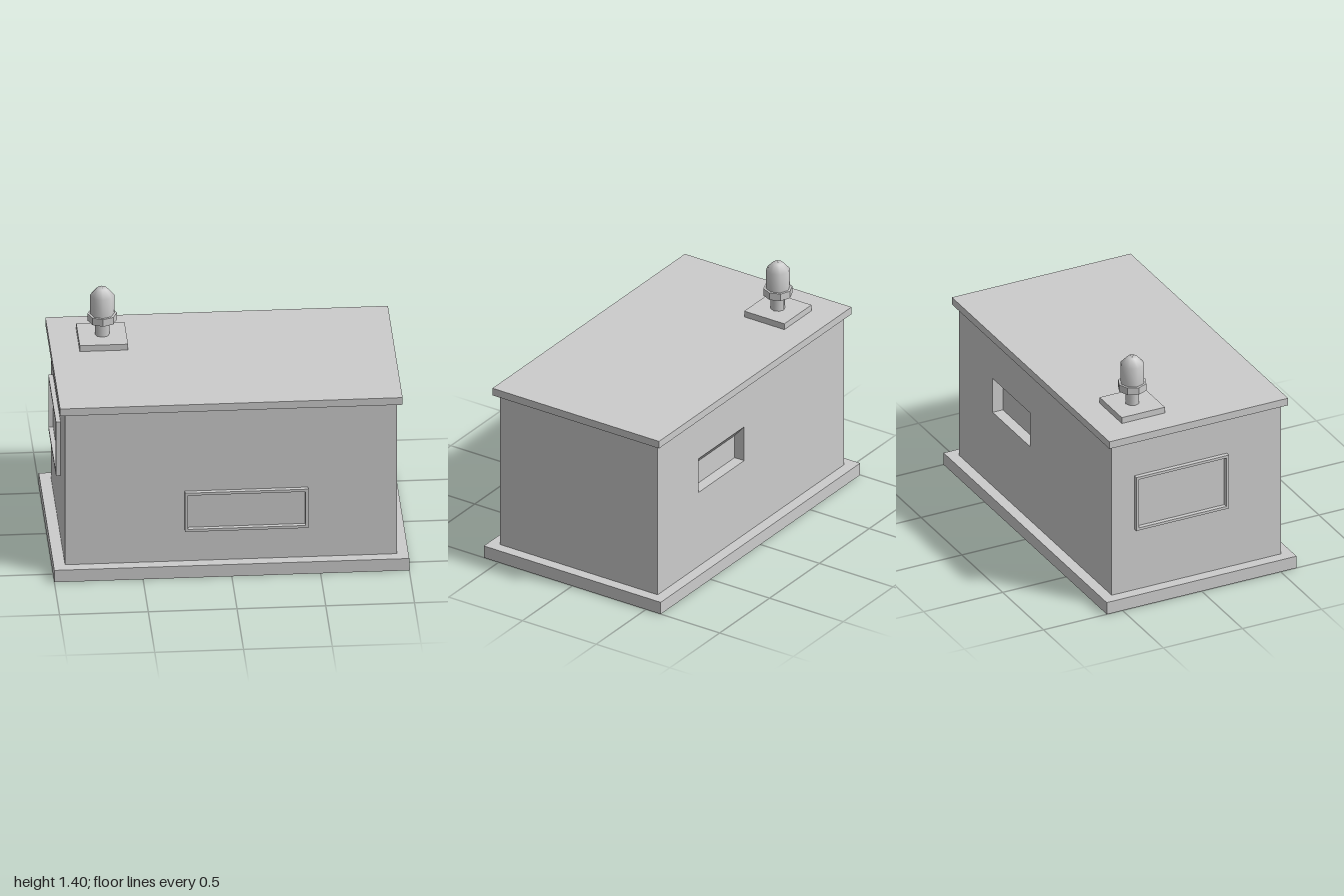
import * as THREE from 'three';

const grey = new THREE.MeshStandardMaterial({ color: 0xcccccc });
const flat = new THREE.MeshStandardMaterial({ color: 0xcccccc, flatShading: true });

function add(parent, name, geometry, material = flat) {
  const mesh = new THREE.Mesh(geometry, material);
  mesh.name = name;
  parent.add(mesh);
  return mesh;
}

// Box given by its lower and upper corners
function block(parent, name, [x0, y0, z0], [x1, y1, z1]) {
  const mesh = add(parent, name, new THREE.BoxGeometry(x1 - x0, y1 - y0, z1 - z0));
  mesh.position.set((x0 + x1) / 2, (y0 + y1) / 2, (z0 + z1) / 2);
  return mesh;
}

function rectPoints(x0, y0, x1, y1) {
  return [[x0, y0], [x1, y0], [x1, y1], [x0, y1]].map(([x, y]) => new THREE.Vector2(x, y));
}

// Rectangular plate with a rectangular opening, extruded along z
function openPlate(outer, inner, depth) {
  const shape = new THREE.Shape(rectPoints(...outer));
  shape.holes.push(new THREE.Path(rectPoints(...inner).reverse()));
  return new THREE.ExtrudeGeometry(shape, { depth, bevelEnabled: false });
}

// Thin raised border, centred on its own origin
function frame(width, height, border, depth) {
  const w = width / 2, h = height / 2;
  return openPlate([-w, -h, w, h], [border - w, border - h, w - border, h - border], depth);
}

export function createModel() {
  const model = new THREE.Group();
  model.name = 'cabinet';

  // Plinth and lid
  block(model, 'base', [-1, 0, -0.6], [1, 0.075, 0.6]);
  block(model, 'lid', [-0.965, 1.03, -0.565], [0.965, 1.075, 0.565]);

  // Body: solid core plus a back wall with the vent opening
  const back = -0.535, recess = -0.47;
  const vent = { x0: 0.067, x1: 0.524, y0: 0.545, y1: 0.76 };
  block(model, 'body', [-0.935, 0.075, recess], [0.935, 1.03, 0.535]);
  const wall = add(model, 'backWall', openPlate(
    [-0.935, 0.075, 0.935, 1.03], [vent.x0, vent.y0, vent.x1, vent.y1], recess - back));
  wall.position.z = back;

  // Sloping ceiling inside the vent
  const wedge = new THREE.Shape([
    new THREE.Vector2(-recess, vent.y1 - 0.075),
    new THREE.Vector2(-back, vent.y1),
    new THREE.Vector2(-recess, vent.y1),
  ]);
  const slope = add(model, 'ventSlope', new THREE.ExtrudeGeometry(wedge,
    { depth: vent.x1 - vent.x0, bevelEnabled: false }).rotateY(Math.PI / 2));
  slope.position.x = vent.x0;

  // Raised panel borders on the front and the right side
  const frontFrame = add(model, 'frontFrame', frame(0.695, 0.245, 0.016, 0.027));
  frontFrame.position.set(0.087, 0.392, 0.534);
  const sideFrame = add(model, 'sideFrame', frame(0.585, 0.34, 0.016, 0.027));
  sideFrame.rotation.y = -Math.PI / 2;
  sideFrame.position.set(-0.934, 0.632, -0.1);

  // Beacon on the roof
  const beacon = new THREE.Group();
  beacon.name = 'beacon';
  beacon.position.set(-0.667, 1.075, -0.267);
  model.add(beacon);
  block(beacon, 'beaconPlate', [-0.136, 0, -0.136], [0.136, 0.037, 0.136]);
  add(beacon, 'beaconStem', new THREE.CylinderGeometry(0.041, 0.041, 0.09, 8), grey).position.y = 0.081;
  add(beacon, 'beaconCollar', new THREE.CylinderGeometry(0.083, 0.083, 0.044, 8)).position.y = 0.147;
  const dome = [[0.069, 0.169], [0.069, 0.284], [0.03, 0.326], [0, 0.326]]
    .map(([r, y]) => new THREE.Vector2(r, y));
  add(beacon, 'beaconBulb', new THREE.LatheGeometry(dome, 8), grey);

  return model;
}
